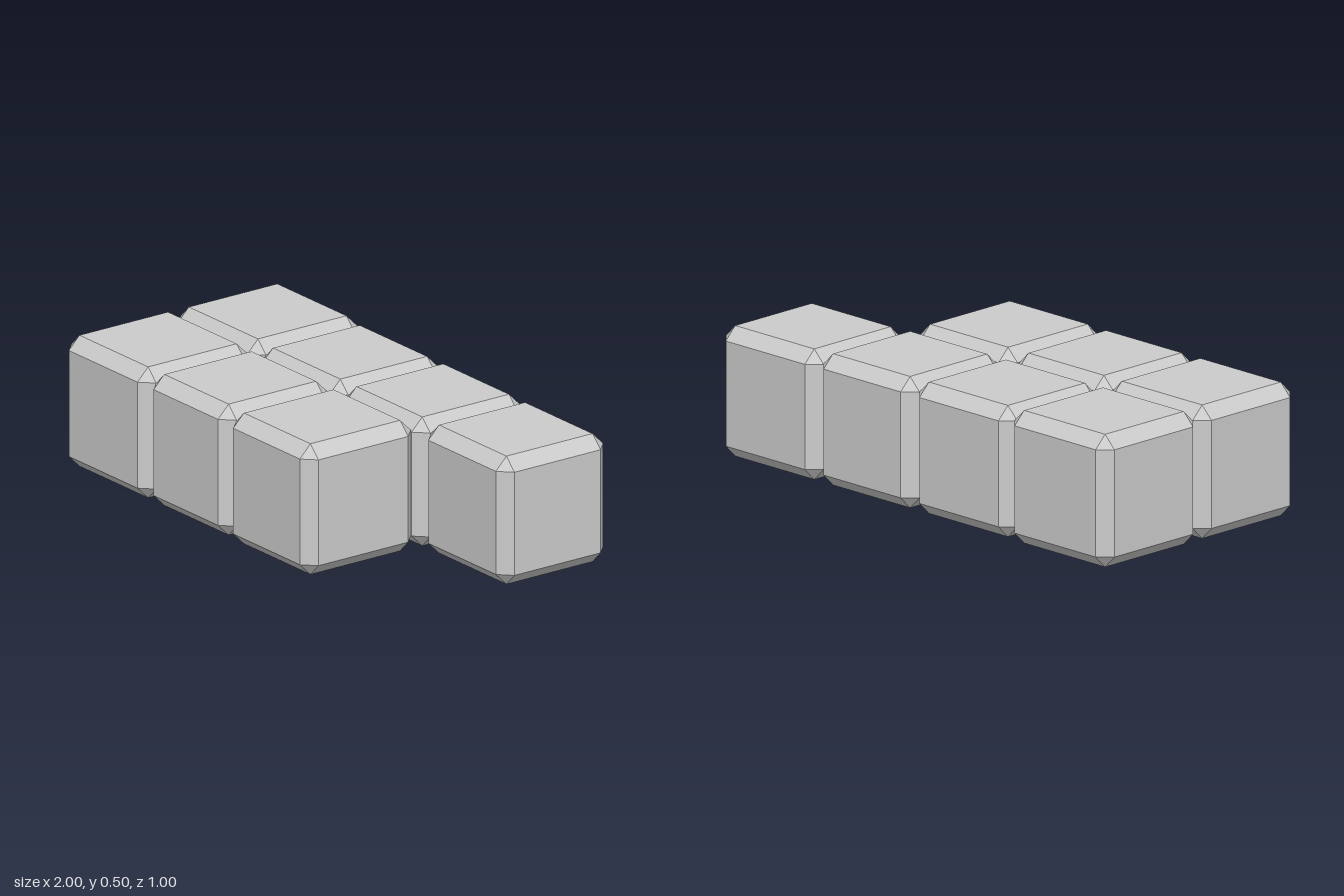
import * as THREE from 'three';
import { ConvexGeometry } from 'three/addons/geometries/ConvexGeometry.js';

// Box with every edge and corner cut flat by c
function chamferedBox(w, h, d, c) {
  const points = [];
  for (const sx of [-1, 1]) for (const sy of [-1, 1]) for (const sz of [-1, 1]) {
    const x = w / 2, y = h / 2, z = d / 2;
    points.push(
      new THREE.Vector3(sx * x, sy * (y - c), sz * (z - c)),
      new THREE.Vector3(sx * (x - c), sy * y, sz * (z - c)),
      new THREE.Vector3(sx * (x - c), sy * (y - c), sz * z)
    );
  }
  return new ConvexGeometry(points);
}

export function createModel() {
  const model = new THREE.Group();
  model.name = 'blockCluster';
  const material = new THREE.MeshStandardMaterial({ color: 0xcccccc, flatShading: true });

  // Slightly uneven blocks: [name, xMin, xMax, zMin, zMax, height]
  const blocks = [
    ['backBlock1', -1, -0.49, -0.5, -0.005, 0.5],
    ['backBlock2', -0.49, 0.01, -0.487, 0, 0.495],
    ['backBlock3', 0.01, 0.5, -0.487, 0, 0.495],
    ['backBlock4', 0.5, 1, -0.487, -0.003, 0.492],
    ['frontBlock1', -0.997, -0.49, -0.005, 0.49, 0.503],
    ['frontBlock2', -0.49, -0.008, 0, 0.49, 0.503],
    ['frontBlock3', 0, 0.495, 0, 0.5, 0.502],
  ];
  for (const [name, x0, x1, z0, z1, h] of blocks) {
    const block = new THREE.Mesh(chamferedBox(x1 - x0, h, z1 - z0, 0.048), material);
    block.name = name;
    block.position.set((x0 + x1) / 2, h / 2, (z0 + z1) / 2);
    model.add(block);
  }
  return model;
}
